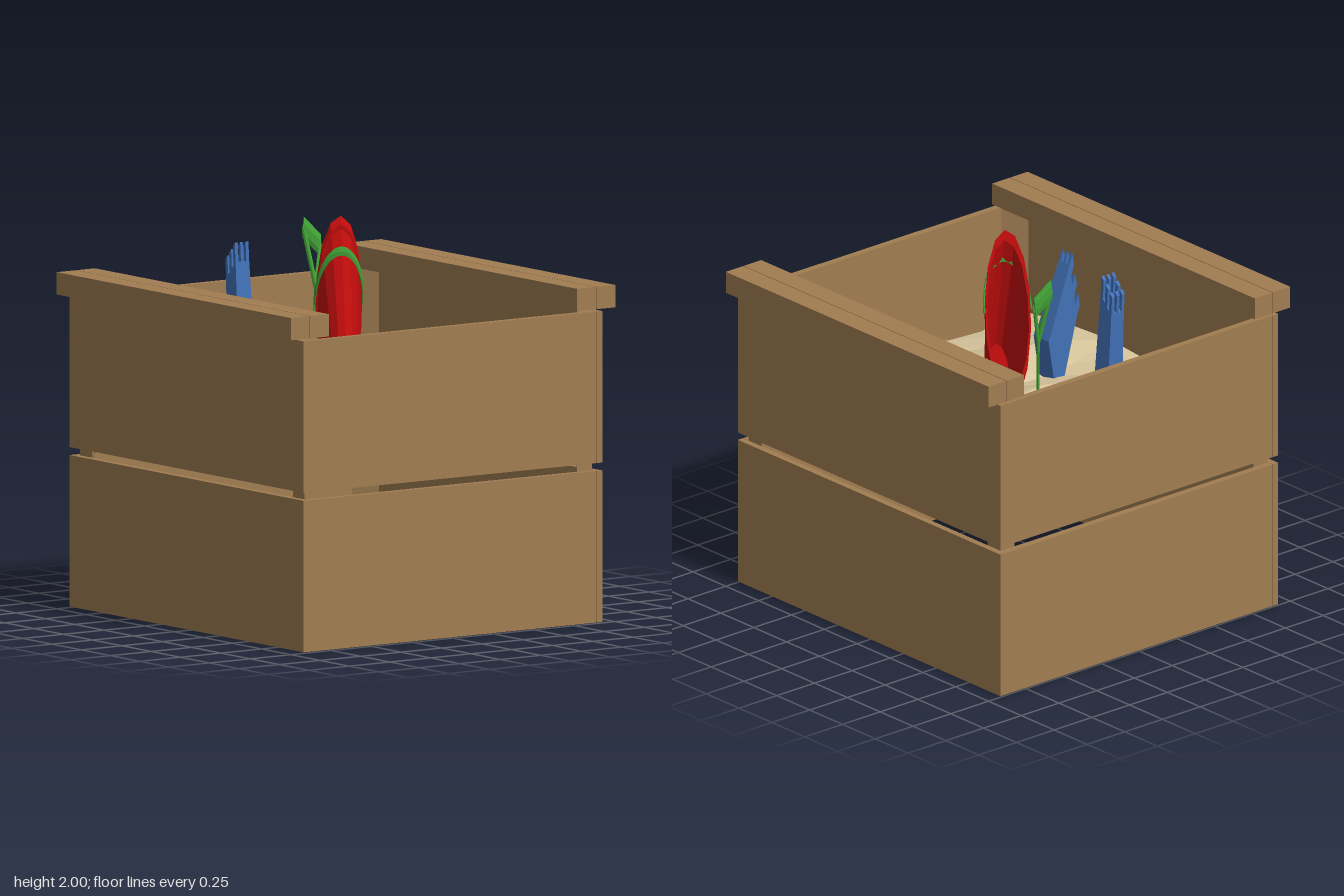
import * as THREE from 'three';

const mat = (name, color, extra = {}) => Object.assign(new THREE.MeshStandardMaterial({ color, ...extra }), { name });
const V = (x, y, z) => new THREE.Vector3(x, y, z);
const UP = V(0, 1, 0);

export function createModel() {
  const model = new THREE.Group();
  model.name = 'sandbox';
  const wood = mat('wood', 0xa17d52, { flatShading: true });
  const sandMat = mat('sand', 0xd9c79d, { flatShading: true, side: THREE.DoubleSide });
  const red = mat('redPlastic', 0xc60d0d, { flatShading: true, side: THREE.DoubleSide });
  const blue = mat('bluePlastic', 0x4272b8, { flatShading: true });
  const green = mat('greenPlastic', 0x44a838, { flatShading: true });

  const add = (parent, name, geo, material) => {
    const m = new THREE.Mesh(geo, material);
    m.name = name;
    parent.add(m);
    return m;
  };
  const box = (parent, name, x0, x1, y0, y1, z0, z1, material) => {
    const m = add(parent, name, new THREE.BoxGeometry(x1 - x0, y1 - y0, z1 - z0), material);
    m.position.set((x0 + x1) / 2, (y0 + y1) / 2, (z0 + z1) / 2);
    return m;
  };

  // Each half of the crate is the other turned by 180 degrees
  for (const turn of [0, Math.PI]) {
    const half = new THREE.Group();
    half.name = 'crateHalf';
    half.rotation.y = turn;
    model.add(half);
    for (const [y0, y1] of [[0.005, 0.77], [0.81, 1.575]]) {
      box(half, 'endBoard', -0.92, 0.884, y0, y1, 0.962, 1, wood);
      box(half, 'sideBoard', 0.886, 0.92, y0, y1, -0.962, 1, wood);
    }
    // Seat rail of two boards
    box(half, 'seatBoardInner', 0.765, 0.881, 1.587, 1.7, -1, 1, wood);
    box(half, 'seatBoardOuter', 0.885, 1, 1.587, 1.7, -1, 1, wood);
    // Triangular corner posts
    for (const s of [-1, 1]) {
      const tri = new THREE.Shape([[0.885, 0.96], [0.792, 0.96], [0.885, 0.86]].map(([x, z]) => new THREE.Vector2(s * x, -z)));
      const geo = new THREE.ExtrudeGeometry(tri, { depth: 1.575, bevelEnabled: false });
      add(half, 'cornerPost', geo.rotateX(-Math.PI / 2), wood);
    }
  }

  // Sand surface: heights in hundredths, rows back to front
  const heights = [
    [97, 97, 86, 96, 113, 118, 103, 100, 108],
    [94, 90, 96, 102, 106, 112, 108, 103, 110],
    [94, 92, 98, 102, 104, 108, 107, 104, 110],
    [98, 97, 100, 104, 103, 100, 103, 108, 119],
    [104, 101, 103, 107, 104, 102, 104, 110, 112],
    [106, 100, 98, 98, 98, 100, 102, 104, 106],
    [105, 104, 104, 106, 107, 106, 103, 100, 102],
    [103, 99, 98, 101, 105, 106, 105, 100, 100],
    [100, 94, 95, 101, 110, 107, 103, 101, 98],
  ];
  const sandGeo = new THREE.PlaneGeometry(1.924, 1.77, 8, 8).rotateX(-Math.PI / 2).rotateY(Math.PI / 2);
  const p = sandGeo.attributes.position;
  for (let i = 0; i < p.count; i++) {
    const col = Math.round((p.getX(i) / 1.77 + 0.5) * 8);
    const row = Math.round((p.getZ(i) / 1.924 + 0.5) * 8);
    p.setY(i, heights[row][col] / 100);
  }
  sandGeo.computeVertexNormals();
  add(model, 'sand', sandGeo, sandMat);

  // Toys are stretched upward as a set
  const toys = new THREE.Group();
  toys.name = 'toys';
  toys.scale.y = 4.2;
  model.add(toys);

  const aimed = (name, base, dir) => {
    const g = new THREE.Group();
    g.name = name;
    g.position.copy(base);
    g.quaternion.setFromUnitVectors(UP, dir.clone().normalize());
    toys.add(g);
    return g;
  };
  const rod = (parent, name, a, b, r, material) => {
    const d = b.clone().sub(a);
    const m = add(parent, name, new THREE.CylinderGeometry(r, r, d.length(), 8), material);
    m.position.copy(a).addScaledVector(d, 0.5);
    m.quaternion.setFromUnitVectors(UP, d.normalize());
  };

  // Bucket, open at the rim
  const base = V(-0.01, 0.25, 0.09), rim = V(0.095, 0.374, -0.11);
  const axis = rim.clone().sub(base);
  const bucket = aimed('bucket', base, axis);
  const L = axis.length();
  add(bucket, 'bucketShell', new THREE.LatheGeometry(
    [[0, 0], [0.07, 0], [0.112, L - 0.02], [0.118, L - 0.02], [0.118, L], [0.108, L]].map(([x, y]) => new THREE.Vector2(x, y)), 14), red);

  // Bucket handle, folded down over the side
  const arc = [];
  for (let i = 0; i <= 12; i++) {
    const t = (i / 12) * Math.PI;
    arc.push(rim.clone()
      .addScaledVector(V(0.885, 0, 0.465), 0.121 * Math.cos(t))
      .addScaledVector(V(-0.4, 0.5, 0.77), 0.125 * Math.sin(t)));
  }
  add(toys, 'bucketHandle', new THREE.TubeGeometry(new THREE.CatmullRomCurve3(arc), 24, 0.006, 6), green);

  // Castle moulds: tapered towers with battlements
  const castle = (at, dir) => {
    const g = aimed('castleMould', at, dir);
    const h = 0.175, q = Math.SQRT2;
    const body = new THREE.CylinderGeometry(0.042 * q, 0.054 * q, h, 4).rotateY(Math.PI / 4);
    add(g, 'castleBody', body, blue).position.y = h / 2;
    box(g, 'castleFoot', -0.057, 0.057, 0, 0.012, -0.057, 0.057, blue);
    for (const i of [-1, 0, 1]) for (const j of [-1, 0, 1]) {
      if (!i && !j) continue;
      const x = i * 0.033, z = j * 0.033;
      box(g, 'battlement', x - 0.009, x + 0.009, h - 0.002, h + 0.024, z - 0.009, z + 0.009, blue);
    }
  };
  castle(V(-0.197, 0.235, -0.522), V(0, 0.965, -0.26));
  castle(V(-0.435, 0.24, 0.21), V(-0.82, 0.572, 0));

  // Rake with a D-shaped grip
  const rake = new THREE.Group();
  rake.name = 'rake';
  toys.add(rake);
  const neck = V(0.235, 0.378, -0.5), head = V(0.172, 0.275, -0.425);
  const gripA = V(0.207, 0.447, -0.568), gripB = V(0.285, 0.425, -0.53);
  rod(rake, 'shaft', neck, head, 0.008, green);
  rod(rake, 'grip', gripA, gripB, 0.014, green);
  for (const end of [gripA, gripB]) rod(rake, 'gripArm', end, neck, 0.009, green);
  const barA = V(0.132, 0.28, -0.444), barB = V(0.212, 0.27, -0.406);
  rod(rake, 'rakeBar', barA, barB, 0.009, green);
  for (const t of [0, 0.5, 1]) {
    const a = barA.clone().lerp(barB, t);
    rod(rake, 'tine', a, a.clone().add(V(-0.01, -0.04, 0.02)), 0.006, green);
  }
  return model;
}
